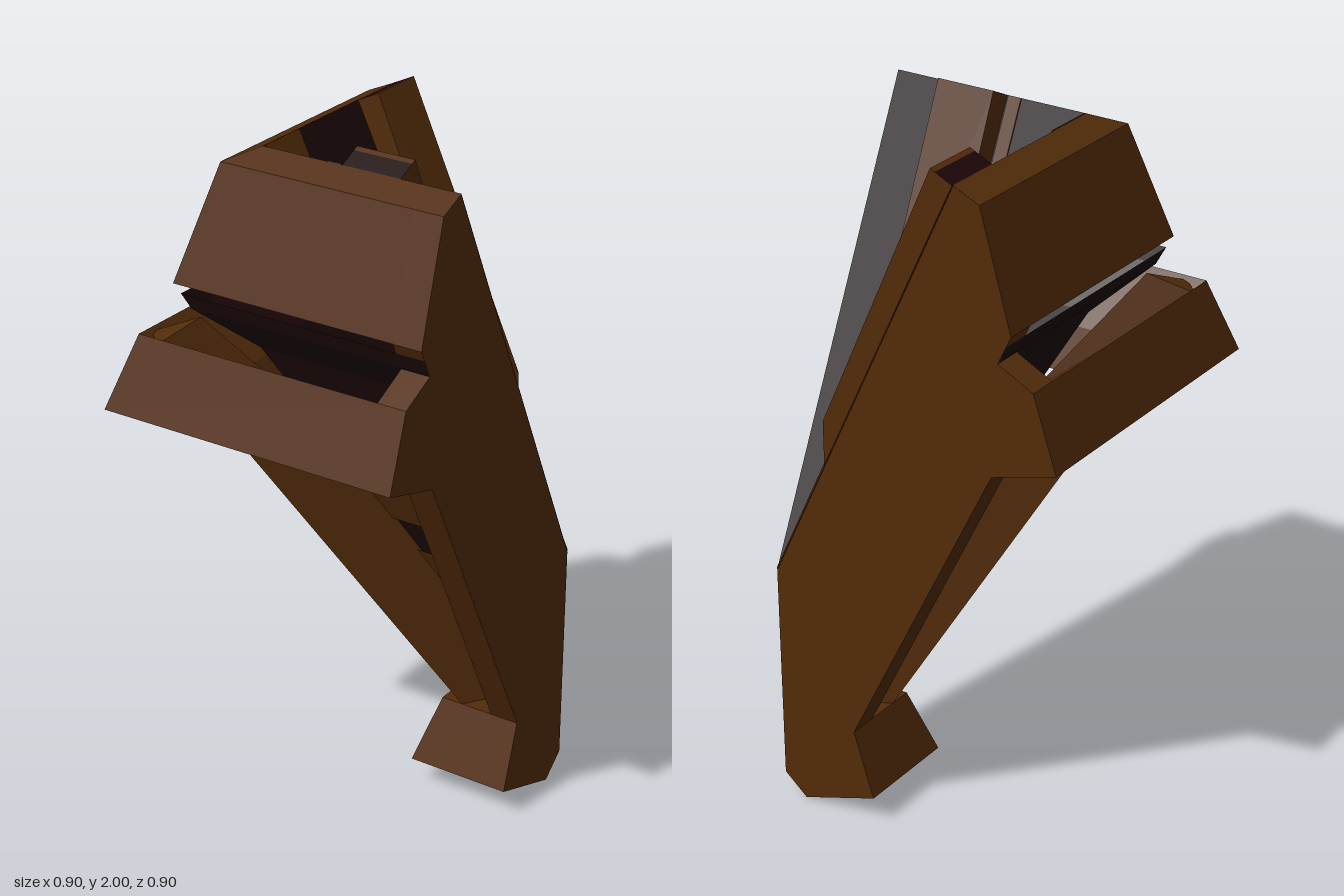
import * as THREE from 'three';

const E = 0.447;          // distance of the two flat cut ends from the centre
const RIB = 0.085;        // thickness of the ribs on the cut ends

// Sloping wall planes: offset from centre at a given height, and the reverse
const panel = (y) => 0.01 + (y - 1.1) / 2.08;
const post = (y) => -0.2 + (y - 0.28) / 2;
const liningHeight = (o) => 1.97 - (0.15 - o) * 2.1;

export function createModel() {
  const model = new THREE.Group();
  const wood = new THREE.MeshStandardMaterial({ color: 0x522b09, side: THREE.DoubleSide });
  wood.name = 'brown wood';
  const dark = new THREE.MeshStandardMaterial({ color: 0x1c0608, side: THREE.DoubleSide });
  dark.name = 'dark red lining';

  const add = (name, geometry, material) => {
    const mesh = new THREE.Mesh(geometry, material);
    mesh.name = name;
    model.add(mesh);
  };

  const fromTriangles = (pos) => {
    const g = new THREE.BufferGeometry();
    g.setAttribute('position', new THREE.Float32BufferAttribute(pos, 3));
    g.computeVertexNormals();
    return g;
  };
  const quad = (pos, a, b, c, d) => pos.push(...a, ...b, ...c, ...a, ...c, ...d);

  // Sweeps a profile of [offset, height] along both walls with a mitred corner
  const sweep = (name, profile, material, closed = false) => {
    const pos = [];
    const count = closed ? profile.length : profile.length - 1;
    const rows = profile.map(([o, y]) => [[E, y, o], [-o, y, o], [-o, y, -E]]);
    for (let i = 0; i < count; i++) {
      const [a, b, c] = rows[i];
      const [a2, b2, c2] = rows[(i + 1) % rows.length];
      quad(pos, b, a, a2, b2);
      quad(pos, c, b, b2, c2);
    }
    add(name, fromTriangles(pos), material);
  };

  // Sloping walls: outer panel with a neck under the rim, and inner lining
  sweep('outerPanel', [[panel(0.28), 0.28], [panel(1.41), 1.41], [0.287, 1.535], [0.306, 1.58]], dark);
  sweep('innerLining', [[0.15, 1.97], [-E, liningHeight(-E)]], dark);

  // Horizontal slats on the outer panel
  for (const [y0, y1] of [[0.28, 0.525], [0.64, 0.765], [0.87, 1.0], [1.11, 1.21]]) {
    sweep('slat', [[panel(y0) + 0.008, y0], [panel(y1) + 0.008, y1]], wood);
  }

  // Rim box, ledge and foot
  sweep('rim', [[0.24, 1.575], [0.32, 1.61], [0.228, 1.935], [0.15, 1.97]], wood);
  sweep('ledge', [[0.26, 1.206], [0.455, 1.265], [0.386, 1.475], [0.25, 1.31], [0.2, 1.19]], wood, true);
  sweep('foot', [[-E, 0.06], [-0.375, 0], [-0.138, 0.085], [-0.2, 0.28], [panel(0.28), 0.28]], wood);

  // Ribs closing the two cut ends
  const ribShape = new THREE.Shape([
    [-E, 0.06], [-0.375, 0], [-0.138, 0.085], [-0.2, 0.28], [0.26, 1.206],
    [0.455, 1.265], [0.386, 1.475], [0.28, 1.528], [0.32, 1.61], [0.228, 1.935],
    [0.151, 1.969], [-E, liningHeight(-E) - 0.003],
  ].map(([o, y]) => new THREE.Vector2(o, y)));
  const rib = () => new THREE.ExtrudeGeometry(ribShape, { depth: RIB, bevelEnabled: false });
  add('frontRib', rib().rotateY(-Math.PI / 2).translate(E, 0, 0), wood);
  add('sideRib', rib().rotateY(Math.PI).translate(0, 0, RIB - E), wood);

  // Chamfered corner post with a slanted top
  const section = (y, innerY, inner) => {
    const o = post(y);
    return [[-o, y, o - 0.065], [0.065 - o, y, o], [-inner, innerY, inner]];
  };
  const low = section(0.28, 0.28, panel(0.28));
  const high = section(1.46, 1.51, 0.27);
  const mid = section(1.2, 1.2, panel(1.2));
  const pos = [...high.flat()];
  for (const [from, to] of [[low, mid], [mid, high]]) {
    for (let i = 0; i < 3; i++) {
      const j = (i + 1) % 3;
      quad(pos, from[i], from[j], to[j], to[i]);
    }
  }
  add('cornerPost', fromTriangles(pos), wood);

  // Boards lying on the lining; "a" runs across the board, "o" down the wall
  const onFront = (a, o, y) => [a, y, o];
  const onSide = (a, o, y) => [-o, y, -a];
  const board = (name, place, a0, a1, top, bottom, t) => {
    const [l, r] = [a0, a1].map((a) => {
      const o = top(a), e = bottom(a);
      const end = (k) => place(a, o - 0.065 * t * k, liningHeight(o) + 0.031 * t * k);
      return {
        base: end(0), mid: end(0.78), upper: end(1),
        foot: place(a, e, liningHeight(e)), footUpper: place(a, e, liningHeight(e) + 0.13 * t),
      };
    });
    const faces = [];
    quad(faces, l.upper, r.upper, r.footUpper, l.footUpper);
    quad(faces, l.foot, r.foot, r.footUpper, l.footUpper);
    quad(faces, l.base, l.upper, l.footUpper, l.foot);
    quad(faces, r.base, r.upper, r.footUpper, r.foot);
    quad(faces, l.mid, r.mid, r.upper, l.upper);
    add(name, fromTriangles(faces), wood);
    const endGrain = [];
    quad(endGrain, l.base, r.base, r.mid, l.mid);
    add(name + 'End', fromTriangles(endGrain), dark);
  };
  const rimLine = () => 0.15;
  const mitre = (a) => -a;
  const raisedEnd = (a) => 0.18 - a;
  board('frontPlank', onFront, 0.095, 0.27, rimLine, mitre, 1);
  board('frontBatten', onFront, 0.05, 0.09, rimLine, mitre, 0.06);
  board('sidePlank', onSide, 0.28, 0.45, rimLine, raisedEnd, 1);
  board('sideBatten', onSide, 0.28, E, raisedEnd, mitre, 0.06);
  board('cornerBatten', onSide, -0.145, 0.005, rimLine, mitre, 0.06);

  return model;
}
